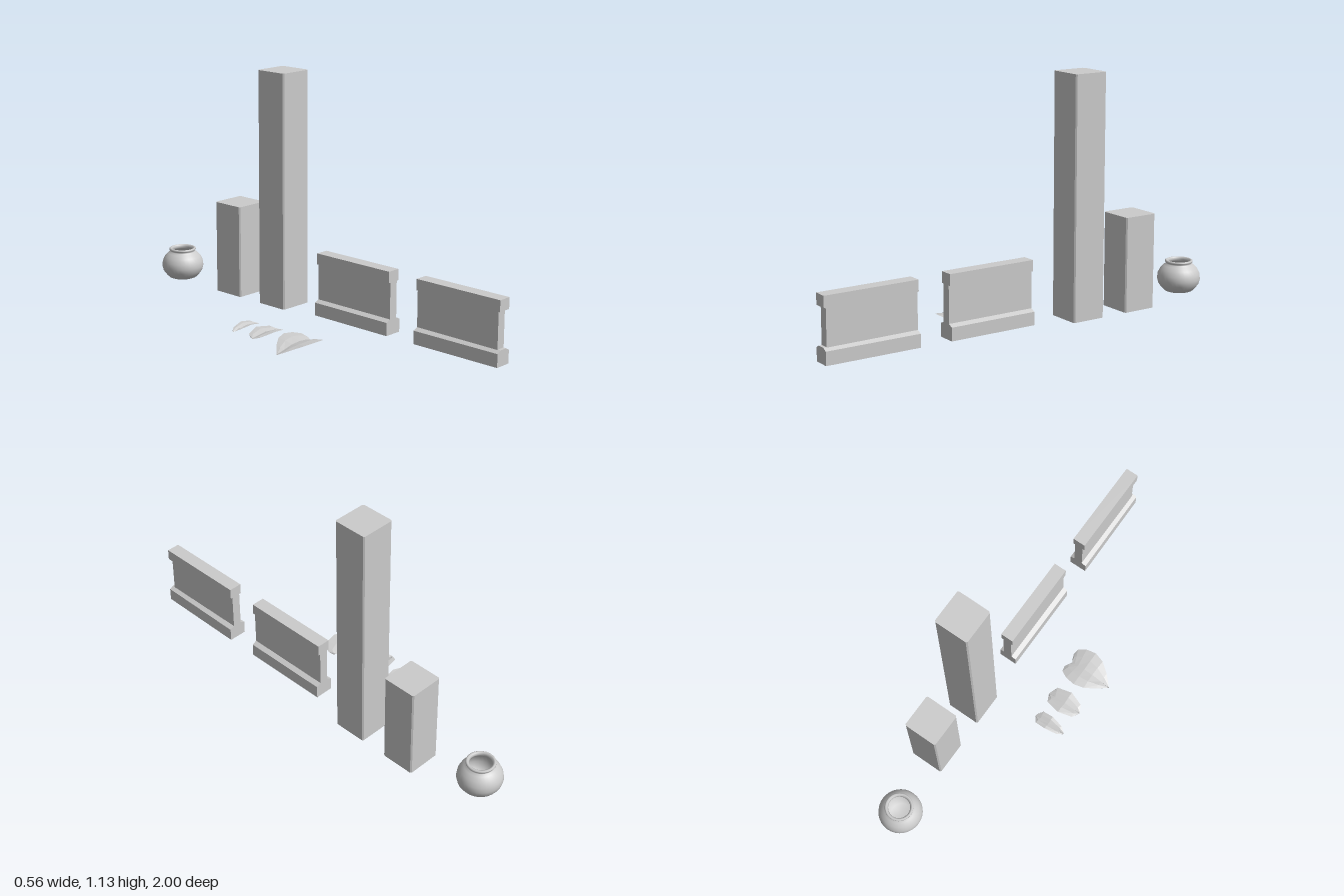
import * as THREE from 'three';

const grey = (opts = {}) => new THREE.MeshStandardMaterial({ color: 0xcccccc, ...opts });

function add(parent, name, geometry, material = grey()) {
  const mesh = new THREE.Mesh(geometry, material);
  mesh.name = name;
  parent.add(mesh);
  return mesh;
}

const shapeOf = (pts) => new THREE.Shape(pts.map(([x, y]) => new THREE.Vector2(x, y)));
const extrude = (pts, depth) =>
  new THREE.ExtrudeGeometry(shapeOf(pts), { depth, bevelEnabled: false });

// Square post with small chamfers on its vertical edges
function pillar(parent, name, z, y0, y1) {
  const h = 0.081, c = h - 0.006;
  const outline = [[c, -h], [h, -c], [h, c], [c, h], [-c, h], [-h, c], [-h, -c], [-c, -h]];
  const geo = extrude(outline, y1 - y0).rotateX(-Math.PI / 2);
  add(parent, name, geo).position.set(0.196, y0, z);
}

// Low wall: chamfered plinth, thin panel and square coping, running along z
function wall(parent, name, z0, z1, inset, taper) {
  const group = new THREE.Group();
  group.name = name;
  group.position.set(0.18, 0, z0);
  const len = z1 - z0;
  const plinth = extrude([
    [-0.043, 0.047], [0.043, 0.047], [0.043, 0.107], [0.021, 0.118], [-0.021, 0.118], [-0.043, 0.107],
  ], len);
  // The plinth narrows slightly towards the front end
  const p = plinth.attributes.position;
  for (let i = 0; i < p.count; i++) p.setX(i, p.getX(i) * (1 - taper * p.getZ(i) / len));
  plinth.computeVertexNormals();
  add(group, 'plinth', plinth);
  const box = (n, hw, y0, y1, l) =>
    add(group, n, new THREE.BoxGeometry(hw * 2, y1 - y0, l)).position.set(0, (y0 + y1) / 2, l / 2);
  box('panel', 0.021, 0.115, 0.285, len - inset);
  box('coping', 0.031, 0.284, 0.335, len);
  parent.add(group);
}

// Folded leaf. Each station: [rib x, rib y, edge x, edge y, half width]
function leaf(parent, name, z, stations) {
  const pos = [], index = [];
  for (const [rx, ry, ex, ey, w] of stations) {
    const mx = (rx + ex) / 2, my = (ry + ey) / 2 + 0.003;
    pos.push(ex, ey, -w, mx, my, -w / 2, rx, ry, 0, mx, my, w / 2, ex, ey, w);
  }
  for (let i = 0; i < stations.length - 1; i++) {
    for (let j = 0; j < 4; j++) {
      const a = i * 5 + j, b = a + 5;
      index.push(a, a + 1, b, b, a + 1, b + 1);
    }
  }
  const geo = new THREE.BufferGeometry();
  geo.setAttribute('position', new THREE.Float32BufferAttribute(pos, 3));
  geo.setIndex(index);
  geo.computeVertexNormals();
  add(parent, name, geo, grey({ flatShading: true, side: THREE.DoubleSide })).position.z = z;
}

export function createModel() {
  const model = new THREE.Group();
  model.name = 'ruinPieces';

  pillar(model, 'tallPillar', -0.27, 0.039, 1.13);
  pillar(model, 'shortPillar', -0.555, 0.039, 0.473);

  wall(model, 'rearWall', -0.014, 0.409, 0, 0);
  wall(model, 'frontWall', 0.561, 1.0, 0.014, 0.1);

  // Round hollow jar with a turned lip
  const profile = [
    [0, 0.048], [0.055, 0.048], [0.066, 0.052], [0.08, 0.066], [0.094, 0.085], [0.1, 0.108],
    [0.097, 0.132], [0.086, 0.155], [0.07, 0.171], [0.06, 0.178], [0.059, 0.183],
    [0.064, 0.187], [0.064, 0.193], [0.059, 0.196], [0.052, 0.194], [0.049, 0.184],
    [0.054, 0.174], [0.076, 0.152], [0.089, 0.11], [0.076, 0.075], [0.05, 0.057], [0, 0.057],
  ].map(([r, y]) => new THREE.Vector2(r, y));
  add(model, 'jar', new THREE.LatheGeometry(profile, 32), grey({ side: THREE.DoubleSide }))
    .position.set(0.14, 0, -0.9);

  // Heart-shaped large leaf and two smaller oval ones
  leaf(model, 'largeLeaf', 0.153, [
    [-0.281, 0.004, -0.281, 0.004, 0],
    [-0.235, 0.017, -0.237, 0.025, 0.045],
    [-0.185, 0.029, -0.19, 0.041, 0.079],
    [-0.14, 0.033, -0.142, 0.047, 0.093],
    [-0.105, 0.03, -0.095, 0.043, 0.085],
    [-0.085, 0.026, -0.06, 0.034, 0.066],
    [-0.075, 0.023, -0.054, 0.025, 0.038],
    [-0.073, 0.022, -0.063, 0.018, 0.015],
  ]);
  leaf(model, 'mediumLeaf', -0.036, [
    [-0.242, 0.022, -0.241, 0.023, 0.004],
    [-0.215, 0.028, -0.225, 0.033, 0.036],
    [-0.16, 0.036, -0.16, 0.047, 0.057],
    [-0.105, 0.032, -0.09, 0.038, 0.042],
    [-0.073, 0.025, -0.073, 0.026, 0.006],
  ]);
  leaf(model, 'smallLeaf', -0.16, [
    [-0.238, 0.025, -0.237, 0.026, 0.004],
    [-0.205, 0.031, -0.212, 0.036, 0.022],
    [-0.155, 0.037, -0.155, 0.047, 0.034],
    [-0.11, 0.034, -0.104, 0.04, 0.032],
    [-0.083, 0.027, -0.083, 0.028, 0.006],
  ]);

  return model;
}
